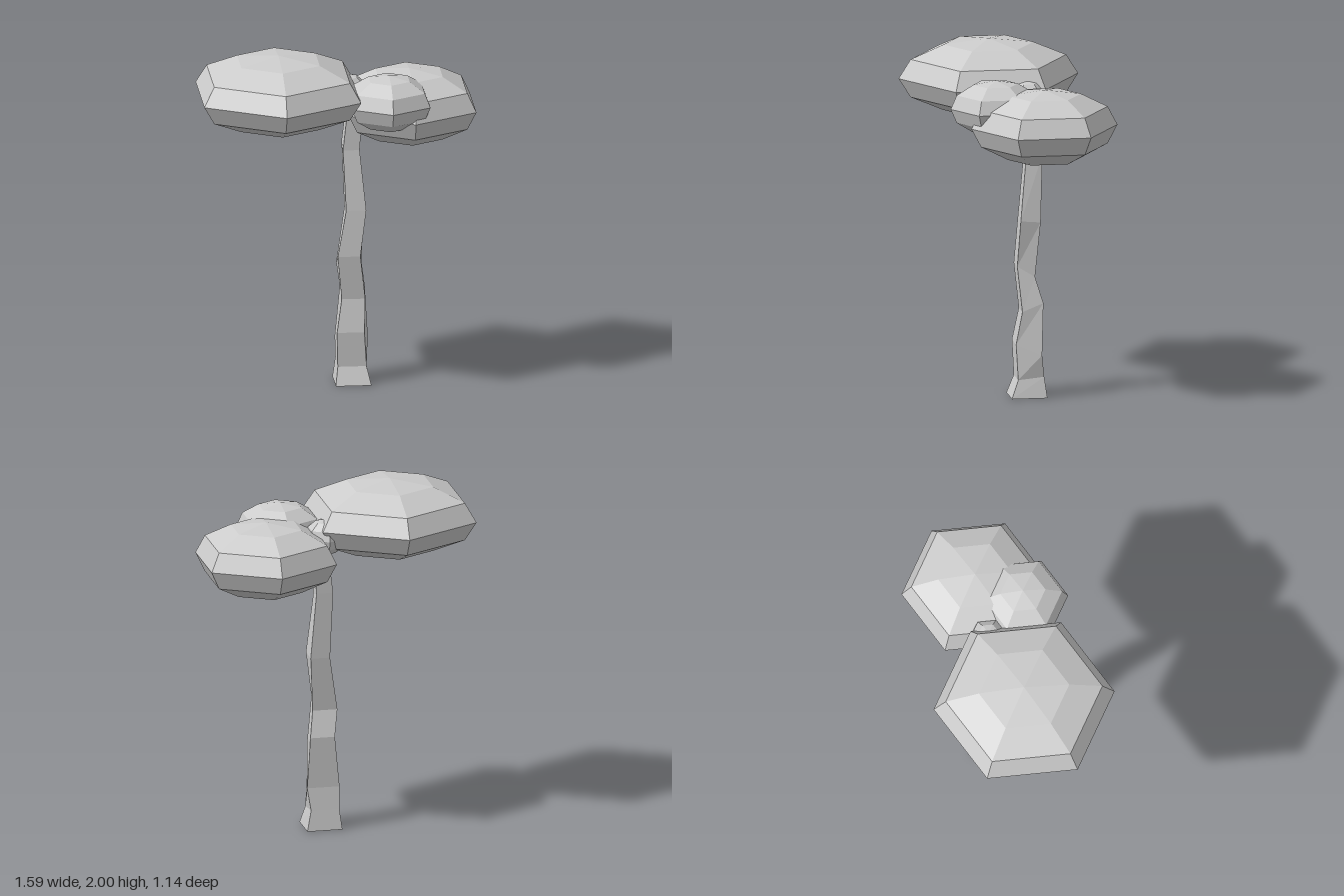
import * as THREE from 'three';

const grey = new THREE.MeshStandardMaterial({ color: 0xcccccc, flatShading: true });
grey.name = 'plain grey';

// Hexagonal, flattened foliage blob with corners pointing along z
function foliage(name, x, y, z, radius, halfHeight) {
  const geo = new THREE.SphereGeometry(1, 6, 6);
  geo.rotateY(Math.PI / 2);
  geo.scale(radius, halfHeight, radius);
  const mesh = new THREE.Mesh(geo, grey);
  mesh.name = name;
  mesh.position.set(x, y, z);
  return mesh;
}

// Crooked four-sided trunk lofted through tilted rectangular rings
function trunk() {
  // left x, front right x, back right x, front z, back z, front y, back y
  const rings = [
    [-0.01, 0.195, 0.195, 0, -0.205, 0, 0],
    [0.005, 0.17, 0.17, -0.04, -0.19, 0.105, 0.12],
    [0, 0.157, 0.19, -0.03, -0.175, 0.31, 0.25],
    [0.03, 0.165, 0.173, -0.065, -0.185, 0.5, 0.55],
    [0.005, 0.135, 0.15, -0.04, -0.14, 0.76, 0.7],
    [0.055, 0.17, 0.168, -0.055, -0.17, 1.03, 1.02],
    [0.04, 0.135, 0.137, -0.09, -0.185, 1.38, 1.41],
    [0.07, 0.155, 0.155, -0.085, -0.19, 1.66, 1.66],
  ];
  const pos = [];
  const index = [];
  rings.forEach(([l, rf, rb, zf, zb, yf, yb], i) => {
    pos.push(l, yf, zf, rf, yf, zf, rb, yb, zb, l, yb, zb);
    if (i === 0) return;
    for (let k = 0; k < 4; k++) {
      const a = (i - 1) * 4 + k;
      const b = (i - 1) * 4 + ((k + 1) % 4);
      index.push(a, b, b + 4, a, b + 4, a + 4);
    }
  });
  // End caps
  const t = (rings.length - 1) * 4;
  index.push(0, 2, 1, 0, 3, 2, t, t + 1, t + 2, t, t + 2, t + 3);
  const geo = new THREE.BufferGeometry();
  geo.setAttribute('position', new THREE.Float32BufferAttribute(pos, 3));
  geo.setIndex(index);
  const flat = geo.toNonIndexed();
  flat.computeVertexNormals();
  const mesh = new THREE.Mesh(flat, grey);
  mesh.name = 'trunk';
  return mesh;
}

export function createModel() {
  const tree = new THREE.Group();
  tree.name = 'tree';
  tree.add(
    trunk(),
    foliage('largeFoliage', -0.345, 1.78, 0.05, 0.52, 0.22),
    foliage('mediumFoliage', 0.425, 1.63, -0.15, 0.423, 0.215),
    foliage('smallFoliage', 0.285, 1.72, 0.11, 0.26, 0.16),
    foliage('crownKnot', 0.068, 1.725, -0.11, 0.12, 0.105),
  );
  return tree;
}
